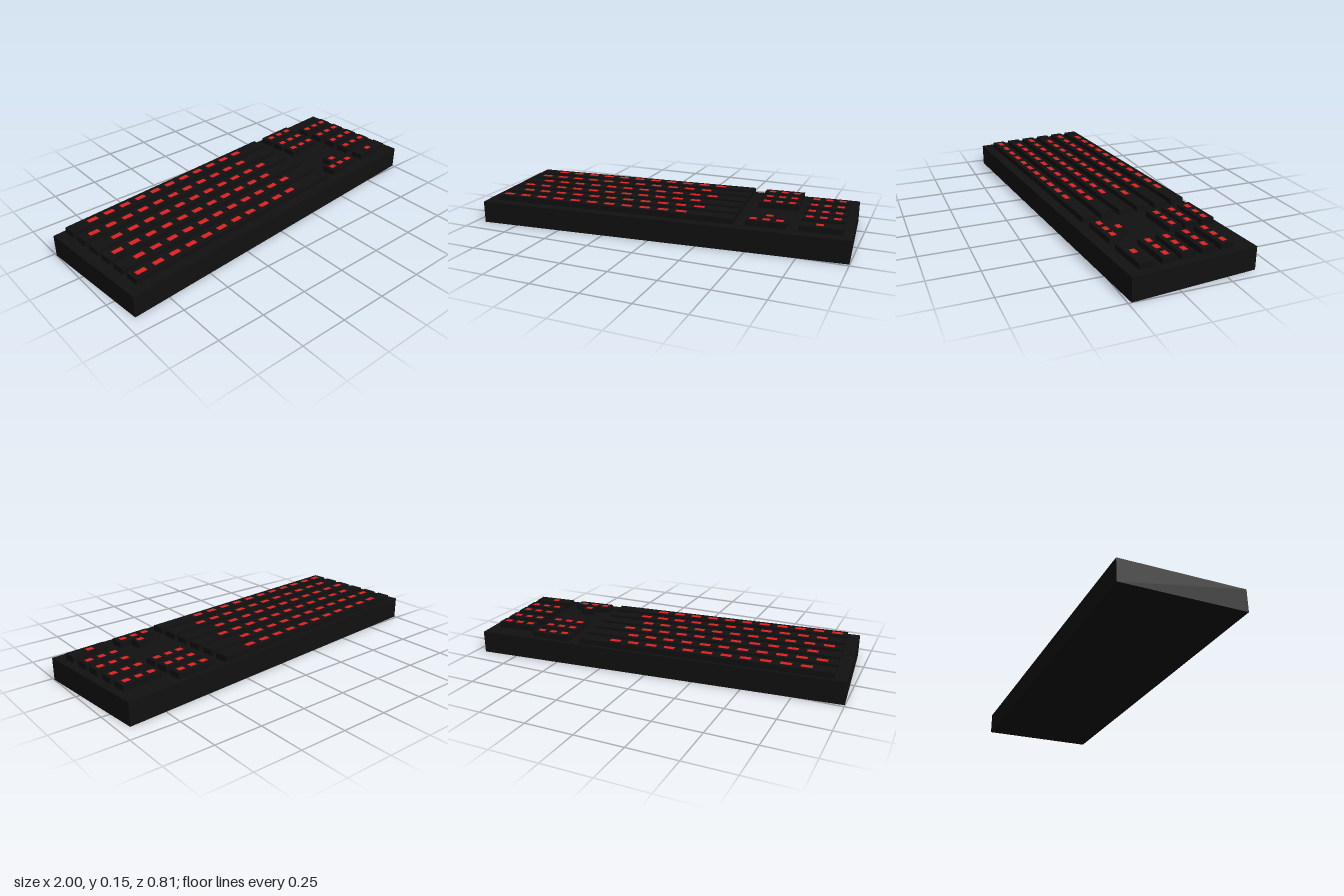
import * as THREE from 'three';

const black = new THREE.MeshStandardMaterial({ color: 0x111111 });
const red = new THREE.MeshStandardMaterial({ color: 0xe02020 });

const BASE_TOP = 0.117, KEY_TOP = 0.147, KEY_DEPTH = 0.07;

function box(name, x0, x1, y0, y1, z, depth, material) {
  const mesh = new THREE.Mesh(new THREE.BoxGeometry(x1 - x0, y1 - y0, depth), material);
  mesh.position.set((x0 + x1) / 2, (y0 + y1) / 2, z);
  mesh.name = name;
  return mesh;
}

// One raised row of keys with evenly spaced red marks on top
function keyRow(name, x0, x1, z, firstMark, pitch, count, markWidth) {
  const row = new THREE.Group();
  row.name = name;
  row.add(box('keyBar', x0, x1, BASE_TOP - 0.005, KEY_TOP, z, KEY_DEPTH, black));
  for (let i = 0; i < count; i++) {
    const x = firstMark + i * pitch;
    row.add(box('keyMark', x - markWidth / 2, x + markWidth / 2, KEY_TOP - 0.002, KEY_TOP + 0.0015, z, 0.026, red));
  }
  return row;
}

export function createModel() {
  const model = new THREE.Group();
  model.name = 'keyboard';
  const board = new THREE.Group();
  board.name = 'board';
  board.rotation.y = THREE.MathUtils.degToRad(5);
  model.add(board);

  board.add(box('base', -0.975, 0.975, 0, BASE_TOP, 0, 0.64, black));

  // Main block: six long rows
  [-0.78, -0.839, -0.778, -0.846, -0.796, -0.863].forEach((first, i) =>
    board.add(keyRow('mainRow', -0.915, 0.402, -0.267 + i * 0.0998, first, 0.0988, 11, 0.055)));

  // Navigation block: three short rows
  [-0.259, -0.167, -0.079].forEach((z) =>
    board.add(keyRow('navigationRow', 0.467, 0.68, z, 0.508, 0.067, 3, 0.036)));

  // Arrow keys
  board.add(keyRow('upArrowKey', 0.53, 0.6, 0.163, 0.566, 0, 1, 0.036));
  board.add(keyRow('arrowRow', 0.46, 0.665, 0.227, 0.495, 0.066, 3, 0.036));

  // Number pad: four rows of three and a bottom row
  [-0.187, -0.085, 0.02, 0.115].forEach((z) =>
    board.add(keyRow('numberRow', 0.72, 0.932, z, 0.757, 0.068, 3, 0.036)));
  board.add(keyRow('numberBottomRow', 0.72, 0.932, 0.227, 0.82, 0, 1, 0.036));

  return model;
}
